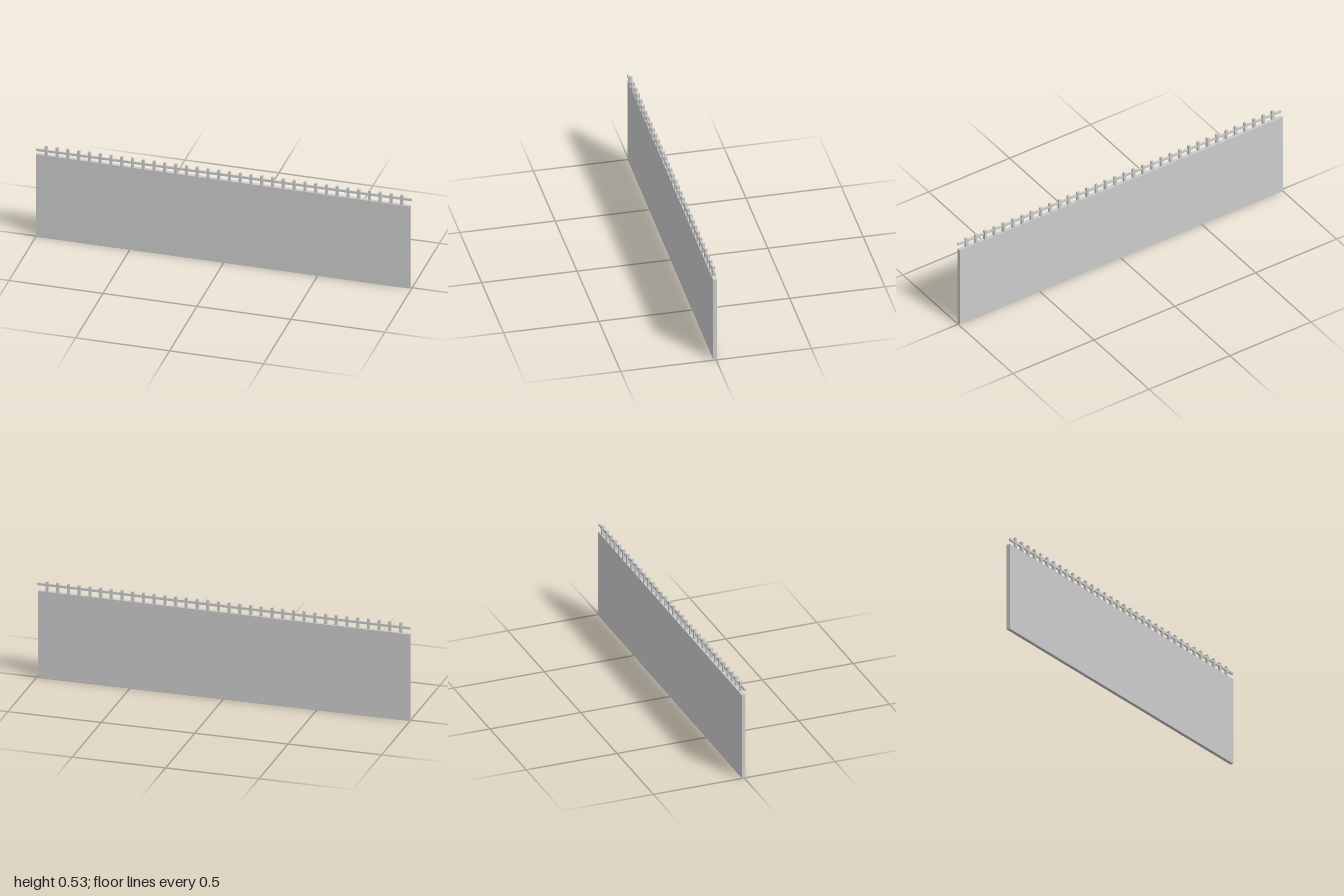
import * as THREE from 'three';

export function createModel() {
  const group = new THREE.Group();
  const material = new THREE.MeshStandardMaterial({ color: 0xcccccc, flatShading: true });

  function addBox(name, size, position) {
    const mesh = new THREE.Mesh(new THREE.BoxGeometry(...size), material);
    mesh.name = name;
    mesh.position.set(...position);
    group.add(mesh);
    return mesh;
  }

  // Long thin wall, turned very slightly so its +x end sits further forward
  const wallHeight = 0.477;
  const wall = addBox('wall', [1.993, wallHeight, 0.0193], [-0.0035, wallHeight / 2, 0]);
  wall.rotation.y = -0.0039;

  // Row of short square posts standing on the wall
  const postCount = 34, firstX = -0.946, postTop = 0.531;
  const spacing = (-2 * firstX) / (postCount - 1);
  for (let i = 0; i < postCount; i++) {
    addBox('post', [0.0135, postTop - wallHeight, 0.0145],
      [firstX + i * spacing, (postTop + wallHeight) / 2, 0.0018]);
  }

  // Handrail through the posts, rising slightly towards +x
  const rail = addBox('rail', [2, 0.0125, 0.0085], [0, 0.508, 0.0042]);
  rail.rotation.z = 0.004;

  return group;
}
